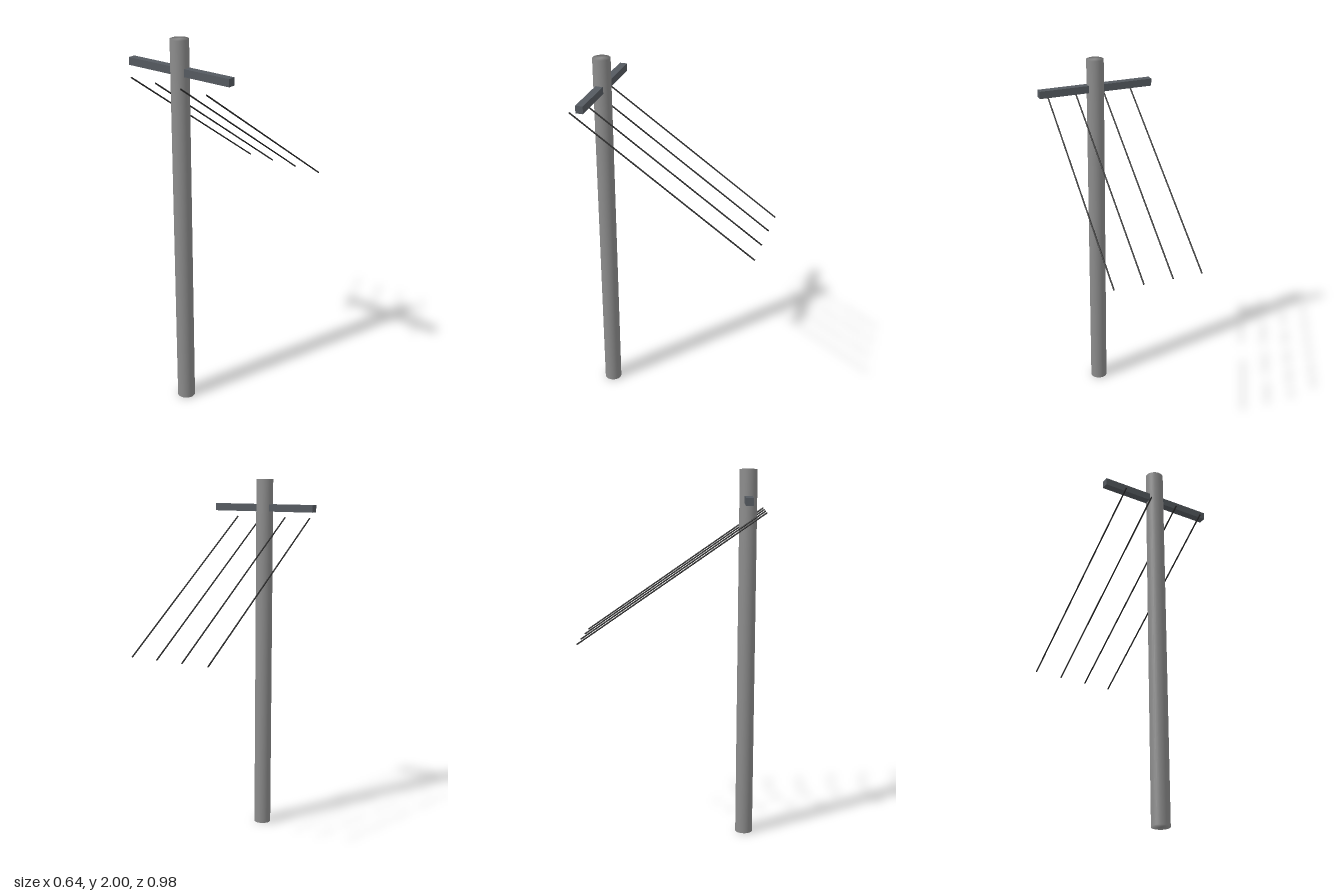
import * as THREE from 'three';
import { mergeVertices } from 'three/addons/utils/BufferGeometryUtils.js';

const POLE_Z = 0.4;

// Merge cap and side vertices so the shading rolls over the rims
function softened(geometry) {
  geometry.deleteAttribute('normal');
  geometry.deleteAttribute('uv');
  const merged = mergeVertices(geometry);
  merged.computeVertexNormals();
  return merged;
}

function part(name, geometry, color) {
  const mesh = new THREE.Mesh(geometry, new THREE.MeshStandardMaterial({ color }));
  mesh.name = name;
  return mesh;
}

export function createModel() {
  const model = new THREE.Group();
  model.name = 'utilityPole';

  // Upright pole
  const pole = part('pole', softened(new THREE.CylinderGeometry(0.047, 0.047, 2, 32)), 0x8c8c8c);
  pole.position.set(0, 1, POLE_Z);
  model.add(pole);

  // Horizontal arm through the pole
  const arm = part('crossArm', new THREE.BoxGeometry(0.64, 0.04, 0.04), 0x555a60);
  arm.position.set(0, 1.842, POLE_Z);
  model.add(arm);

  // Four parallel wires sloping down to the back
  const wires = new THREE.Group();
  wires.name = 'wires';
  const start = new THREE.Vector3(0, 1.786, 0.49);
  const end = new THREE.Vector3(0, 1.1, -0.49);
  const run = start.clone().sub(end);
  const wireGeometry = softened(new THREE.CylinderGeometry(0.004, 0.004, run.length(), 12));
  for (const x of [-0.24, -0.08, 0.08, 0.24]) {
    const wire = part('wire', wireGeometry, 0x2a2a2a);
    wire.position.addVectors(start, end).multiplyScalar(0.5).setX(x);
    wire.quaternion.setFromUnitVectors(new THREE.Vector3(0, 1, 0), run.clone().normalize());
    wires.add(wire);
  }
  model.add(wires);

  return model;
}
